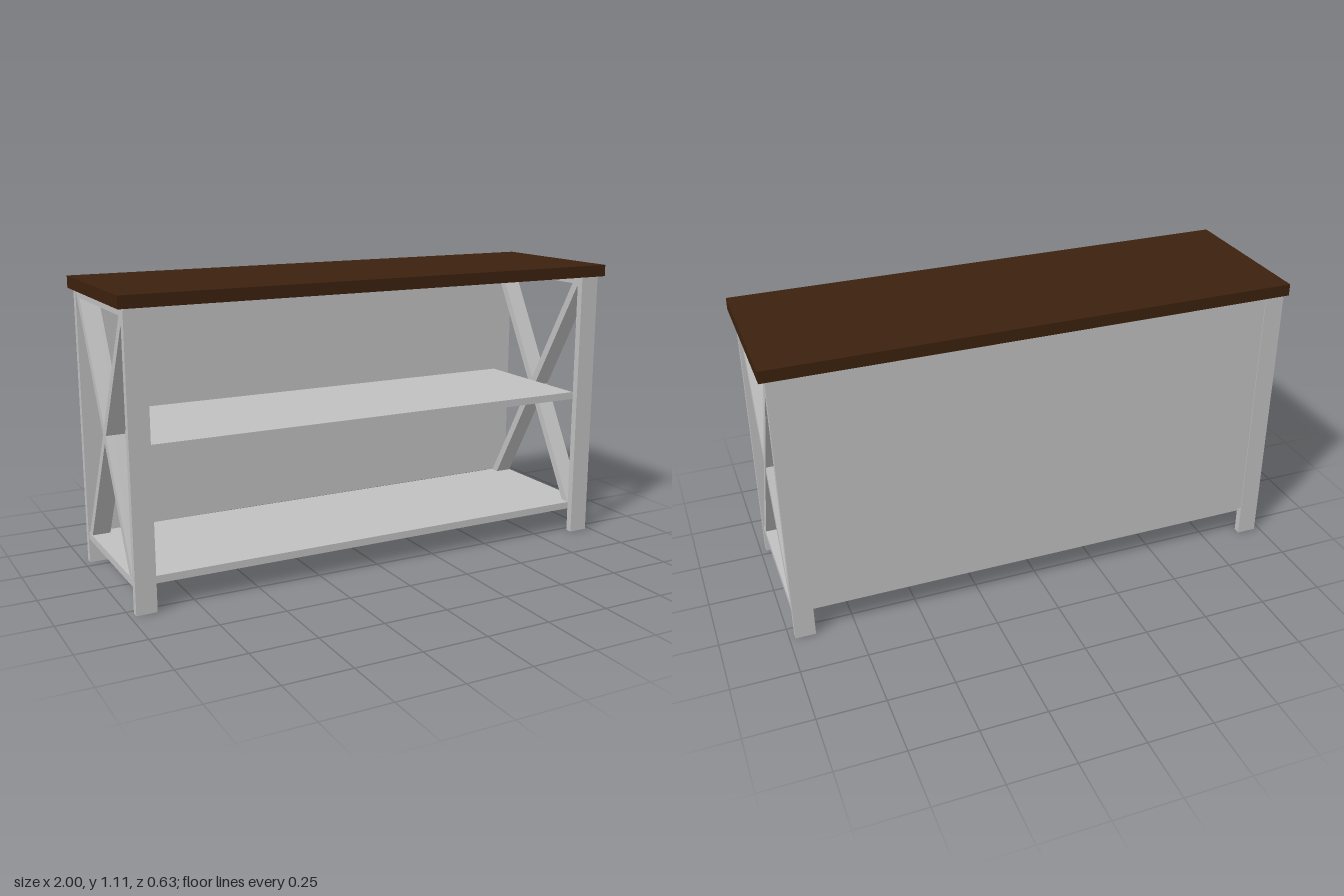
import * as THREE from 'three';

export function createModel() {
  const model = new THREE.Group();
  model.name = 'consoleTable';
  const wood = new THREE.MeshStandardMaterial({ name: 'darkWood', color: 0x3c210e });
  const paint = new THREE.MeshStandardMaterial({ name: 'greyPaint', color: 0xc0c0c0 });

  // Box given by its minimum and maximum along each axis
  function box(name, material, [x0, x1], [y0, y1], [z0, z1]) {
    const mesh = new THREE.Mesh(new THREE.BoxGeometry(x1 - x0, y1 - y0, z1 - z0), material);
    mesh.position.set((x0 + x1) / 2, (y0 + y1) / 2, (z0 + z1) / 2);
    mesh.name = name;
    model.add(mesh);
  }

  const inner = [-0.287, 0.272]; // depth between back and front legs
  const midZ = (inner[0] + inner[1]) / 2;

  // Slanted brace with level-cut ends, extruded across the side frame
  function brace(name, slant, x0, x1) {
    const outline = [[0.278, 1.038], [0.243, 1.038], [-0.273, 0.122], [-0.238, 0.122]];
    const shape = new THREE.Shape(outline.map(([z, y]) => new THREE.Vector2(-z * slant, y)));
    const geometry = new THREE.ExtrudeGeometry(shape, { depth: x1 - x0, bevelEnabled: false });
    geometry.rotateY(Math.PI / 2); // shape x becomes -z, depth becomes +x
    geometry.translate(x0, 0, midZ);
    const mesh = new THREE.Mesh(geometry, paint);
    mesh.name = name;
    model.add(mesh);
  }

  // Top and shelves
  box('tableTop', wood, [-1, 1], [1.069, 1.114], [-0.317, 0.317]);
  box('middleShelf', paint, [-0.9, 0.9], [0.566, 0.595], inner);
  box('bottomShelf', paint, [-0.903, 0.903], [0.095, 0.123], inner);
  box('backPanel', paint, [-0.902, 0.902], [0.124, 1.069], [-0.312, -0.287]);

  // Side frames: legs, rails and crossed braces
  for (const side of [-1, 1]) {
    const label = side > 0 ? 'left' : 'right';
    const span = (a, b) => (side > 0 ? [a, b] : [-b, -a]);
    box(label + 'FrontLeg', paint, span(0.902, 0.979), [0, 1.069], [0.272, 0.299]);
    box(label + 'BackLeg', paint, span(0.902, 0.979), [0, 1.069], [-0.315, -0.287]);
    box(label + 'TopRail', paint, span(0.903, 0.976), [1.038, 1.067], inner);
    box(label + 'BottomRail', paint, span(0.903, 0.976), [0.095, 0.123], inner);
    brace(label + 'RisingBrace', -1, ...span(0.904, 0.975));
    brace(label + 'FallingBrace', 1, ...span(0.905, 0.974));
  }
  return model;
}
